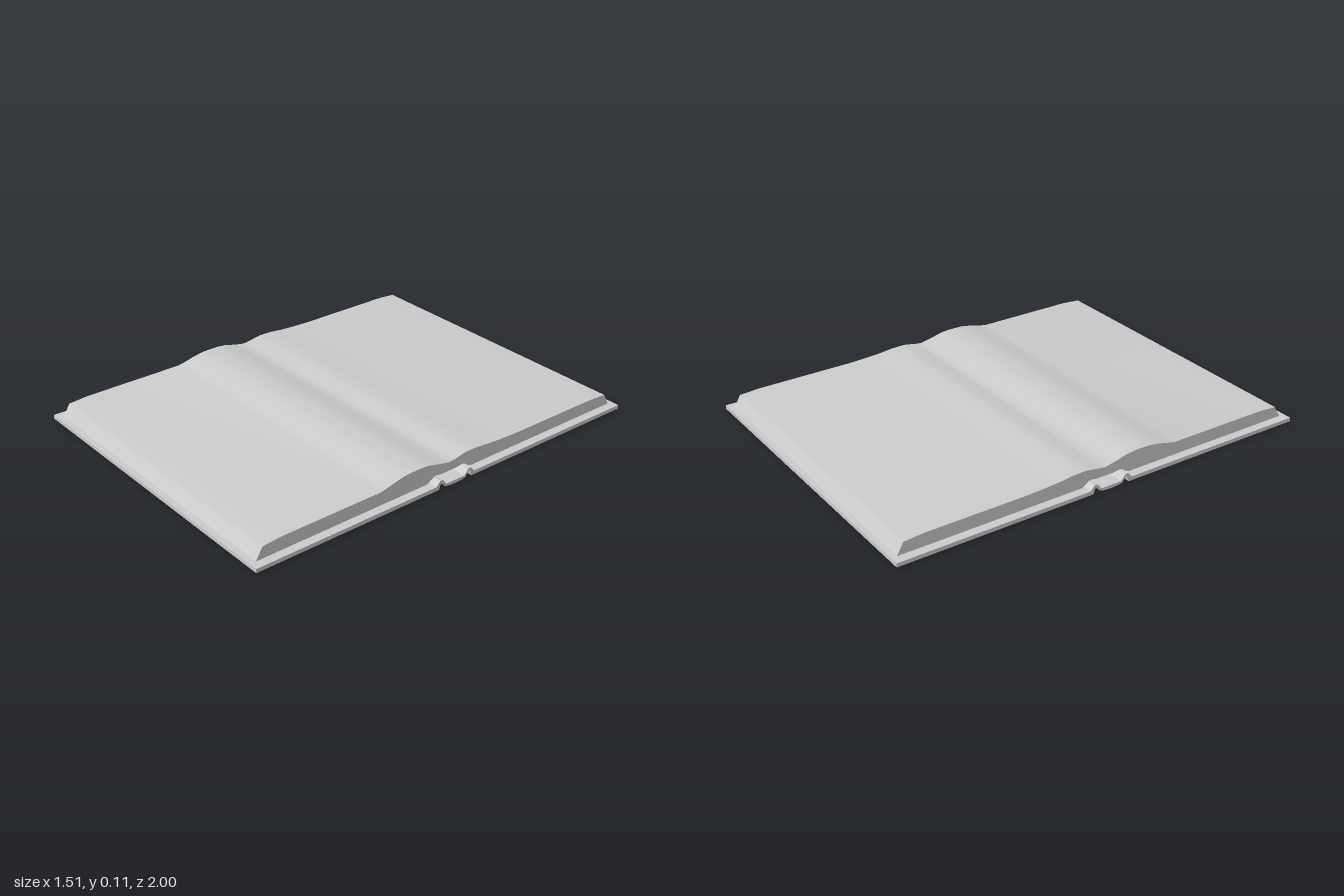
import * as THREE from 'three';
import { toCreasedNormals } from 'three/addons/utils/BufferGeometryUtils.js';

const material = new THREE.MeshStandardMaterial({ color: 0xcccccc, side: THREE.DoubleSide });

// Sweeps a closed [z, y] cross-section along x, centred on x = 0.
function sweep(name, points, width) {
  const shape = new THREE.Shape(points.map(([z, y]) => new THREE.Vector2(z, y)));
  const geometry = new THREE.ExtrudeGeometry(shape, { depth: width, bevelEnabled: false });
  geometry.translate(0, 0, -width / 2);
  geometry.rotateY(-Math.PI / 2);
  const mesh = new THREE.Mesh(toCreasedNormals(geometry, 0.45), material);
  mesh.name = name;
  return mesh;
}

// Mirrors half a section (outer edge to middle) to the other side of z = 0.
const mirrored = (half) => [...half, ...half.map(([z, y]) => [-z, y]).reverse()];

export function createModel() {
  const group = new THREE.Group();
  group.name = 'openBook';

  // Cover: two boards, raised hinge folds and a shallow rounded spine
  const top = mirrored([[1, 0.022], [0.105, 0.022], [0.085, 0.045], [0.07, 0.043], [0.05, 0.018]]);
  const bottom = mirrored([[1, 0.004], [0.09, 0.004], [0.08, 0.034], [0.074, 0.034],
    [0.058, 0.01], [0.04, 0.005], [0.015, 0.003]]);
  group.add(sweep('cover', [...top, ...bottom.reverse()], 1.51));

  // Page block: uneven swell either side of the gutter, open below at the spine
  const pageTop = [
    [0.972, 0.022], [0.94, 0.075], [0.85, 0.082], [0.37, 0.082], [0.34, 0.087], [0.29, 0.099],
    [0.24, 0.109], [0.2, 0.111], [0.15, 0.111], [0.11, 0.107], [0.05, 0.092], [0, 0.082],
    [-0.03, 0.085], [-0.09, 0.096], [-0.12, 0.097], [-0.17, 0.095], [-0.22, 0.089],
    [-0.3, 0.084], [-0.4, 0.081], [-0.85, 0.081], [-0.945, 0.075], [-0.975, 0.022],
  ];
  const pageUnderside = [[-0.12, 0.022], [-0.075, 0.046], [-0.04, 0.042],
    [0.04, 0.042], [0.075, 0.046], [0.12, 0.022]];
  group.add(sweep('pages', [...pageTop, ...pageUnderside], 1.43));

  // Slim raised bands across the outside of the spine
  for (const x of [-0.45, -0.15, 0.15, 0.45]) {
    const geometry = new THREE.CylinderGeometry(0.006, 0.006, 0.09, 8);
    geometry.rotateX(Math.PI / 2);
    const band = new THREE.Mesh(geometry, material);
    band.name = 'spineBand';
    band.position.set(x, 0.006, 0);
    group.add(band);
  }

  return group;
}
